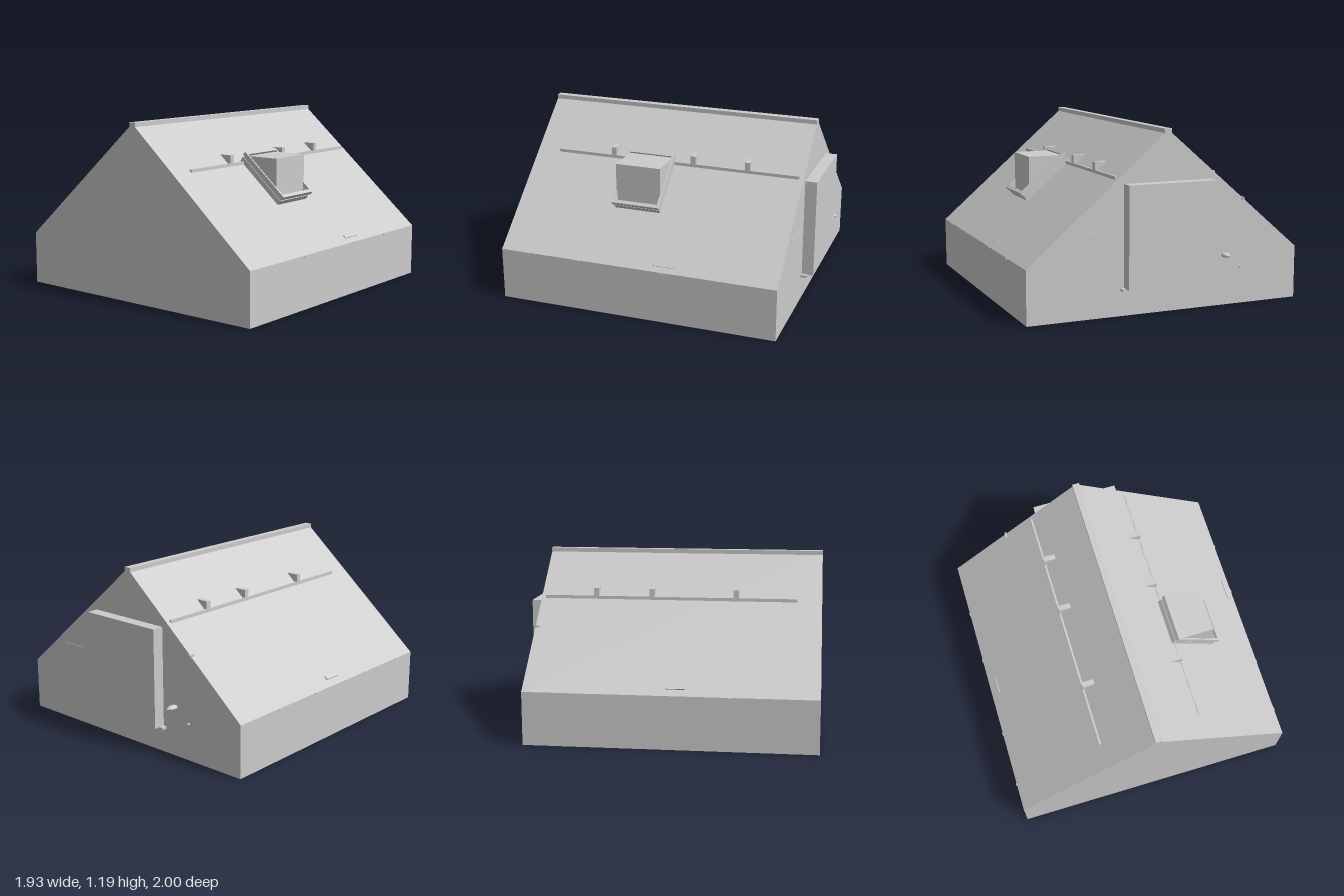
import * as THREE from 'three';

const mat = new THREE.MeshStandardMaterial({ color: 0xcccccc, flatShading: true, side: THREE.DoubleSide });
const RIDGE = 1.18, EAVE = 0.355, HALF = 0.96;
const SLOPE = (RIDGE - EAVE) / HALF;
const PITCH = Math.atan(SLOPE);
const roofY = (x) => RIDGE - SLOPE * Math.abs(x);

export function createModel() {
  const model = new THREE.Group();

  const add = (parent, name, geometry, x = 0, y = 0, z = 0) => {
    const mesh = new THREE.Mesh(geometry, mat);
    mesh.name = name;
    mesh.position.set(x, y, z);
    parent.add(mesh);
    return mesh;
  };
  // Box given by its minimum and maximum corners
  const box = (parent, name, x0, x1, y0, y1, z0, z1) =>
    add(parent, name, new THREE.BoxGeometry(x1 - x0, y1 - y0, z1 - z0),
      (x0 + x1) / 2, (y0 + y1) / 2, (z0 + z1) / 2);
  // Profile in x and y, extruded from z0 to z1
  const prism = (parent, name, points, z0, z1) => {
    const shape = new THREE.Shape(points.map(([x, y]) => new THREE.Vector2(x, y)));
    return add(parent, name, new THREE.ExtrudeGeometry(shape, { depth: z1 - z0, bevelEnabled: false }), 0, 0, z0);
  };

  // Gabled house body and ridge cap
  prism(model, 'houseBody', [[-HALF, 0], [HALF, 0], [HALF, EAVE], [0, RIDGE], [-HALF, EAVE]], -0.92, 1);
  box(model, 'ridgeCap', -0.025, 0.025, 1.15, 1.187, -0.92, 1);

  // Snow rails, wedge brackets and eave clips on both slopes
  for (const s of [-1, 1]) {
    box(model, 'snowRail', s * 0.348 - 0.007, s * 0.348 + 0.007, 0.87, 0.896, -0.89, 0.835);
    for (const z of [-0.537, -0.153, 0.422])
      prism(model, 'railBracket',
        [[s * 0.268, 0.95], [s * 0.354, 0.95], [s * 0.354, 0.895], [s * 0.345, 0.88]], z - 0.018, z + 0.018);
    for (const z of [-0.53, -0.15, 0.43, 0.81])
      box(model, 'eaveClip', s * 0.96 - 0.004, s * 0.96 + 0.004, 0.345, 0.354, z - 0.012, z + 0.012);
  }

  // Small raised strips near the eaves
  for (const [x, z0, z1, h] of [[-0.91, 0.015, 0.14, 0.016], [0.918, -0.225, -0.08, 0.01]]) {
    const strip = add(model, 'roofStrip', new THREE.BoxGeometry(0.028, h, z1 - z0), x, roofY(x), (z0 + z1) / 2);
    strip.rotation.z = -Math.sign(x) * PITCH;
  }

  // Roof window: a stepped frame lying on the slope with a box rising through it
  const roofWindow = new THREE.Group();
  roofWindow.name = 'roofWindow';
  roofWindow.position.set(0.482, roofY(0.482), 0.138);
  roofWindow.rotation.z = -PITCH;
  model.add(roofWindow);
  const frame = (name, length, width, bar, side, y0, y1) => {
    const l = length / 2, w = width / 2;
    for (const s of [-1, 1]) {
      box(roofWindow, name + 'Rail', s * (l - bar / 2) - bar / 2, s * (l - bar / 2) + bar / 2, y0, y1, -w, w);
      box(roofWindow, name + 'Side', -l, l, y0, y1, s * (w - side / 2) - side / 2, s * (w - side / 2) + side / 2);
    }
  };
  frame('lowerFrame', 0.415, 0.32, 0.03, 0.014, -0.02, 0.035);
  frame('middleFrame', 0.405, 0.312, 0.025, 0.01, 0.035, 0.05);
  frame('upperFrame', 0.425, 0.334, 0.025, 0.016, 0.05, 0.077);
  box(roofWindow, 'windowPane', -0.195, 0.195, 0, 0.025, -0.15, 0.15);
  prism(model, 'windowBox', [[0.365, 0.85], [0.365, 0.935], [0.624, 0.935], [0.624, 0.64]], -0.018, 0.294);

  // Door panel with a stepped sill on the rear gable
  box(model, 'rearDoor', -0.305, 0.305, 0.18, 0.85, -1, -0.915);
  box(model, 'doorSill', -0.33, 0.33, 0.165, 0.182, -0.96, -0.915);

  // Pointed lamp and small fittings beside the door
  const profile = [[0, 0], [0.018, 0.002], [0.028, 0.03], [0.02, 0.06], [0, 0.085]];
  const lamp = add(model, 'wallLamp',
    new THREE.LatheGeometry(profile.map(([r, y]) => new THREE.Vector2(r, y)), 12), -0.412, 0.34, -0.915);
  lamp.rotation.x = -Math.PI / 2;
  lamp.scale.z = 0.6;
  const spout = add(model, 'wallSpout', new THREE.ConeGeometry(0.014, 0.03, 6), -0.53, 0.25, -0.927);
  spout.rotation.x = -Math.PI / 2;
  box(model, 'gableFitting', -0.555, -0.54, 0.695, 0.715, -0.93, -0.89);
  box(model, 'gableVent', 0.46, 0.64, 0.55, 0.555, -0.924, -0.915);

  return model;
}
